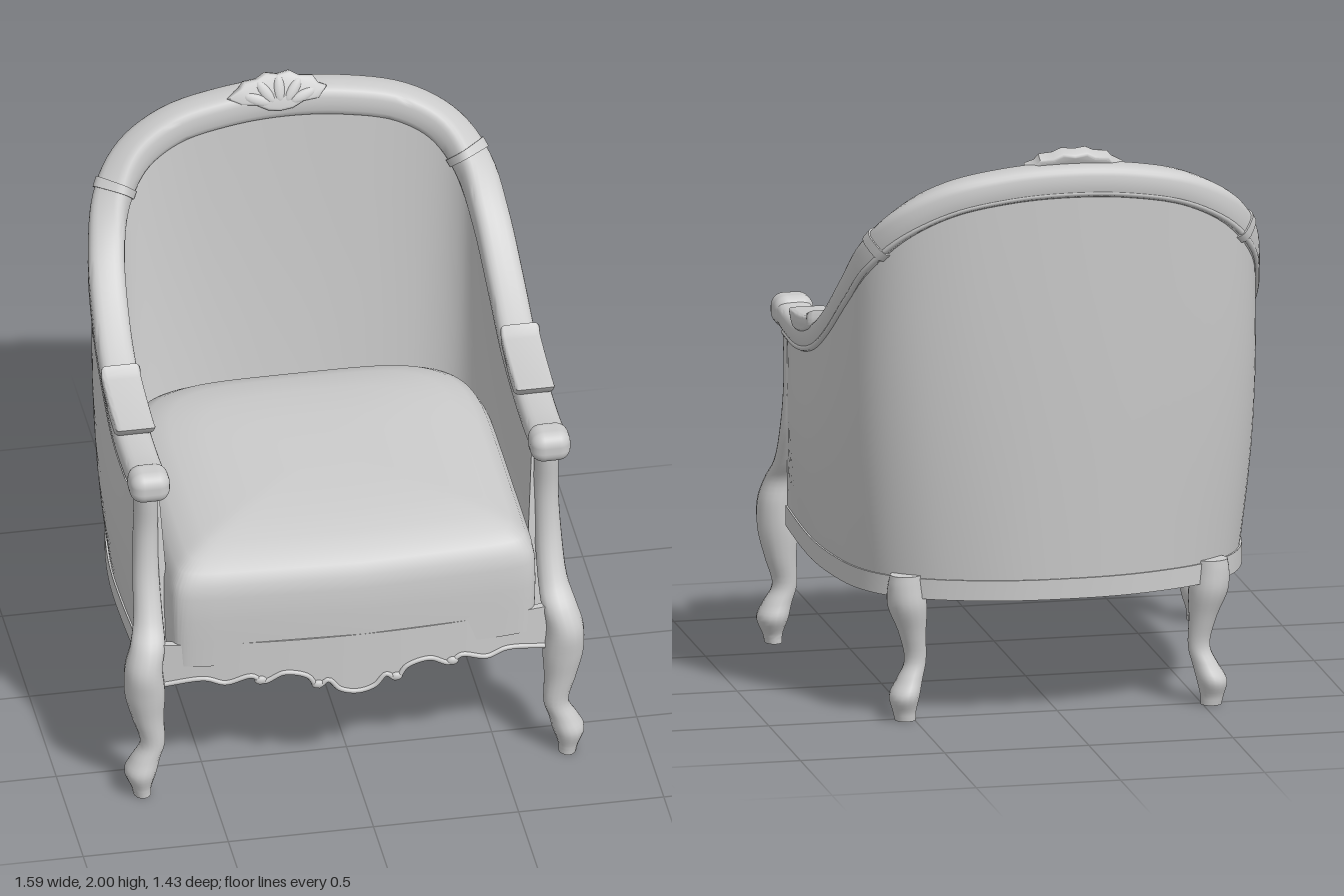
import * as THREE from 'three';
import { toCreasedNormals } from 'three/addons/utils/BufferGeometryUtils.js';
import { RoundedBoxGeometry } from 'three/addons/geometries/RoundedBoxGeometry.js';

const V = (x, y, z) => new THREE.Vector3(x, y, z);

// Solid through a list of rings, wound outward; the first ring may be left open.
function loft(rings, crease = 0.7, open = false) {
  const n = rings[0].length, pos = [], idx = [];
  rings.forEach(r => r.forEach(p => pos.push(p.x, p.y, p.z)));
  for (let i = 0; i < rings.length - 1; i++) for (let j = 0; j < n; j++) {
    const a = i * n + j, b = i * n + (j + 1) % n;
    idx.push(a, b, a + n, b, b + n, a + n);
  }
  [0, rings.length - 1].forEach((k, end) => {
    if (open && !end) return;
    const c = rings[k].reduce((s, p) => s.add(p), V(0, 0, 0)).divideScalar(n);
    const ci = pos.length / 3;
    pos.push(c.x, c.y, c.z);
    for (let j = 0; j < n; j++) {
      const a = k * n + j, b = k * n + (j + 1) % n;
      end ? idx.push(a, b, ci) : idx.push(b, a, ci);
    }
  });
  let vol = 0;
  const at = i => V(pos[i * 3], pos[i * 3 + 1], pos[i * 3 + 2]);
  for (let i = 0; i < idx.length; i += 3) vol += at(idx[i]).dot(at(idx[i + 1]).cross(at(idx[i + 2])));
  if (vol < 0) idx.reverse();
  const g = new THREE.BufferGeometry();
  g.setAttribute('position', new THREE.Float32BufferAttribute(pos, 3));
  g.setIndex(idx);
  return toCreasedNormals(g, crease);
}

const mirrored = h => new THREE.CatmullRomCurve3([...h, ...h.slice(0, -1).reverse().map(p => V(-p.x, p.y, p.z))]);

// Top rail: left arm, around the back, right arm. Base: plan of the seat frame, matched point by point.
const railCurve = mirrored([[.69, 1.185, .56], [.69, 1.168, .4], [.69, 1.175, .2], [.685, 1.228, 0], [.68, 1.335, -.2],
  [.662, 1.49, -.39], [.622, 1.64, -.51], [.54, 1.755, -.585], [.4, 1.835, -.63], [.2, 1.877, -.65], [0, 1.889, -.657]].map(p => V(...p)));
const baseCurve = mirrored([[.7, .67], [.71, .47], [.72, .23], [.72, .02], [.7, -.18], [.665, -.34], [.6, -.46],
  [.49, -.55], [.35, -.61], [.18, -.65], [0, -.66]].map(p => V(p[0], .5, p[1])));

// Point on a curve with its outward direction n and upward direction b.
function frame(curve, u) {
  const t = curve.getTangent(u), n = V(-t.z, 0, t.x).normalize();
  return { p: curve.getPoint(u), n, b: n.clone().cross(t) };
}
const shift = (f, out, up) => f.p.clone().addScaledVector(f.n, out).addScaledVector(f.b, up);
const steps = (n, a, b) => Array.from({ length: n + 1 }, (_, i) => a + (b - a) * i / n);
const soft = (v, e) => Math.sign(v) * Math.abs(v) ** e;

// Rounded section swept along part of the rail, deeper towards the crest.
const railSweep = (u0, u1, grow, n) => loft(steps(n, u0, u1).map(u => {
  const f = frame(railCurve, u), h = .043 + .016 * Math.sin(Math.PI * u) + grow;
  return steps(23, 0, Math.PI * 23 / 12).map(a => shift(f, (.063 + grow) * soft(Math.cos(a), .62), h * soft(Math.sin(a), .62)));
}));

// Turned limb from rows of [y, x, z, radius x, radius z], smoothed between rows.
function limb(rows) {
  const path = new THREE.CatmullRomCurve3(rows.map(r => V(r[1], r[0], r[2])));
  const size = new THREE.CatmullRomCurve3(rows.map(r => V(r[3], r[0], r[4])));
  return loft(steps(rows.length * 4, 0, 1).map(u => {
    const p = path.getPoint(u), s = size.getPoint(u);
    return steps(15, 0, Math.PI * 1.875).map(a => V(p.x + s.x * Math.cos(a), p.y, p.z + s.z * Math.sin(a)));
  }));
}

export function createModel() {
  const model = new THREE.Group();
  const mat = new THREE.MeshStandardMaterial({ color: 0xcccccc, side: THREE.DoubleSide });
  mat.name = 'light grey';
  const add = (name, geo, parent = model) => {
    const m = new THREE.Mesh(geo, mat);
    m.name = name;
    parent.add(m);
    return m;
  };
  const pair = (name, geo) => {
    add(name + 'Left', geo);
    const g = (geo.index ? geo.toNonIndexed() : geo.clone()).scale(-1, 1, 1);
    // restore winding after mirroring
    for (const a of Object.values(g.attributes)) for (let i = 0; i < a.count; i += 3) for (let k = 0; k < a.itemSize; k++) {
      const j = i * a.itemSize + k, l = j + a.itemSize, t = a.array[j];
      a.array[j] = a.array[l];
      a.array[l] = t;
    }
    add(name + 'Right', g);
  };

  // Upholstered wrap-around shell, flat at the arm posts, full at the sides, straight at the back
  add('upholsteredShell', loft(steps(80, .03, .97).map(u => {
    const r = frame(railCurve, u), b = frame(baseCurve, u);
    const full = Math.sin(Math.PI / 2 * Math.min(1, 12 * (Math.min(u, 1 - u) - .03)));
    const back = Math.sin(Math.PI * u) ** 4;
    const side = (top, bottom, bulge) => steps(8, 0, 1).map(v =>
      bottom.clone().lerp(top, v).addScaledVector(b.n, bulge * full * Math.sin(Math.PI * v)));
    return [...side(shift(r, .035 + .013 * full, -.02), shift(b, 0, 0), .026 - .02 * back),
      ...side(shift(r, -.045, -.02), shift(b, -.1 - .03 * back, 0), .012).reverse()];
  })));

  // Carved top rail, trim bead and collars
  add('topRail', railSweep(0, 1, 0, 110));
  const bead = new THREE.CatmullRomCurve3(steps(60, .04, .96).map(u => shift(frame(railCurve, u), .05, -.035)));
  add('railBead', new THREE.TubeGeometry(bead, 110, .012, 8));
  pair('railCollar', railSweep(.307, .317, .006, 3));

  // Scrolled arm ends and arm pads
  pair('armEnd', new RoundedBoxGeometry(.138, .112, .125, 4, .045).translate(.69, 1.183, .545));
  const pad = new THREE.Shape();
  pad.moveTo(-.315, 1.25);
  pad.quadraticCurveTo(-.15, 1.26, -.03, 1.288);
  pad.lineTo(-.005, 1.312);
  pad.quadraticCurveTo(0, 1.265, -.02, 1.245);
  pad.quadraticCurveTo(-.15, 1.19, -.25, 1.195);
  pad.quadraticCurveTo(-.29, 1.205, -.315, 1.25);
  const padGeo = new THREE.ExtrudeGeometry(pad, { depth: .098, bevelSize: .012, bevelOffset: -.012, bevelThickness: .018, bevelSegments: 4 });
  pair('armPad', toCreasedNormals(padGeo.rotateY(Math.PI / 2).translate(.639, 0, 0), .8));

  // Cabriole front legs running up into arm posts, and back legs
  pair('frontLegAndPost', limb([[0, .732, .65, .03, .038], [.03, .735, .65, .034, .042], [.09, .737, .643, .055, .065],
    [.14, .72, .643, .05, .053], [.2, .695, .643, .043, .043], [.3, .71, .637, .055, .054], [.4, .72, .637, .07, .067],
    [.5, .725, .638, .065, .072], [.58, .708, .622, .06, .056], [.65, .697, .57, .051, .048], [.8, .693, .503, .046, .047],
    [.96, .69, .482, .043, .046], [1.1, .69, .495, .042, .046], [1.17, .69, .5, .042, .046]]));
  pair('backLeg', limb([[0, .53, -.515, .036, .034], [.03, .533, -.515, .04, .04], [.085, .533, -.512, .052, .065],
    [.14, .512, -.502, .044, .05], [.2, .492, -.497, .038, .035], [.3, .503, -.503, .047, .047],
    [.4, .522, -.507, .068, .072], [.47, .53, -.52, .062, .057], [.51, .53, -.525, .055, .048]]));

  // Slim seat frame around sides and back, open underneath
  add('seatFrame', loft(steps(70, .03, .97).map(u => {
    const f = frame(baseCurve, u);
    return [[.006, 0], [.006, -.07], [-.03, -.07], [-.03, 0]].map(([o, y]) => {
      const p = shift(f, o, 0);
      p.y += y;
      return p;
    });
  })));

  // Hollow cushion: squared front, rounded back corners, crowned top
  const cushionRings = [[.5, 1], [.6, 1.003], [.68, 1.006], [.77, 1.003], [.815, .99], [.855, .955], [.885, .89],
    [.91, .78], [.927, .6], [.936, .35], [.938, .1]];
  add('seatCushion', loft(cushionRings.map(([y, s]) => steps(119, 0, Math.PI * 119 / 60).map(a => {
    const front = Math.sin(a) > 0, e = front ? .09 : .45;
    const x = soft(Math.cos(a), e), z = soft(Math.sin(a), e);
    return V(.63 * s * x, y, .07 + s * ((front ? .59 : .608) * z + (front ? .038 * z * (1 - x * x) : 0)));
  })), 1, true));

  // Bowed front apron with a scalloped lower edge and scroll trim
  const edge = [[0, .352], [.06, .368], [.1, .408], [.135, .385], [.17, .43], [.25, .45], [.32, .42], [.36, .445],
    [.45, .422], [.52, .442], [.67, .42]];
  const bow = x => .645 + .055 * (1 - (x / .67) ** 2);
  const lower = new THREE.CatmullRomCurve3([...edge.slice(1).reverse().map(([x, y]) => V(-x, y, 0)),
    ...edge.map(([x, y]) => V(x, y, 0))]).getPoints(120);
  add('frontApron', loft(lower.map(p => {
    const z = bow(p.x);
    return [V(p.x, .585, z), V(p.x, .5, z), V(p.x, p.y, z), V(p.x, p.y, z - .025), V(p.x, .585, z - .025)];
  })));
  const trim = new THREE.CatmullRomCurve3(lower.map(p => V(p.x, p.y + .006, bow(p.x))));
  add('apronTrim', new THREE.TubeGeometry(trim, 160, .009, 8));
  [[.135, .4], [.33, .432]].forEach(([x, y]) =>
    pair('apronScroll', new THREE.SphereGeometry(1, 12, 8).scale(.022, .016, .012).translate(x, y, bow(x))));

  // Carved shell crest
  const crest = new THREE.Group();
  crest.name = 'crest';
  crest.position.set(-.025, 1.93, -.615);
  crest.rotation.x = -.5;
  model.add(crest);
  const leaf = new THREE.Shape([[-.17, 0], [-.13, .025], [-.115, .045], [-.07, .05], [-.04, .068], [0, .06], [.04, .068],
    [.07, .05], [.115, .045], [.13, .02], [.155, .01], [.13, -.02], [.08, -.025], [.04, -.045], [0, -.05], [-.04, -.045],
    [-.08, -.025], [-.13, -.02]].map(p => new THREE.Vector2(...p)));
  add('crestLeaf', toCreasedNormals(new THREE.ExtrudeGeometry(leaf,
    { depth: .022, bevelSize: .008, bevelThickness: .014, bevelSegments: 3 }).translate(0, 0, -.02), .9), crest);
  steps(4, -1.2, 1.2).forEach(a => {
    const flute = add('crestFlute', new THREE.SphereGeometry(1, 12, 8).scale(.02, .048, .01), crest);
    flute.position.set(Math.sin(a) * .085, Math.cos(a) * .05 - .03, .012);
    flute.rotation.z = -a;
  });
  return model;
}
